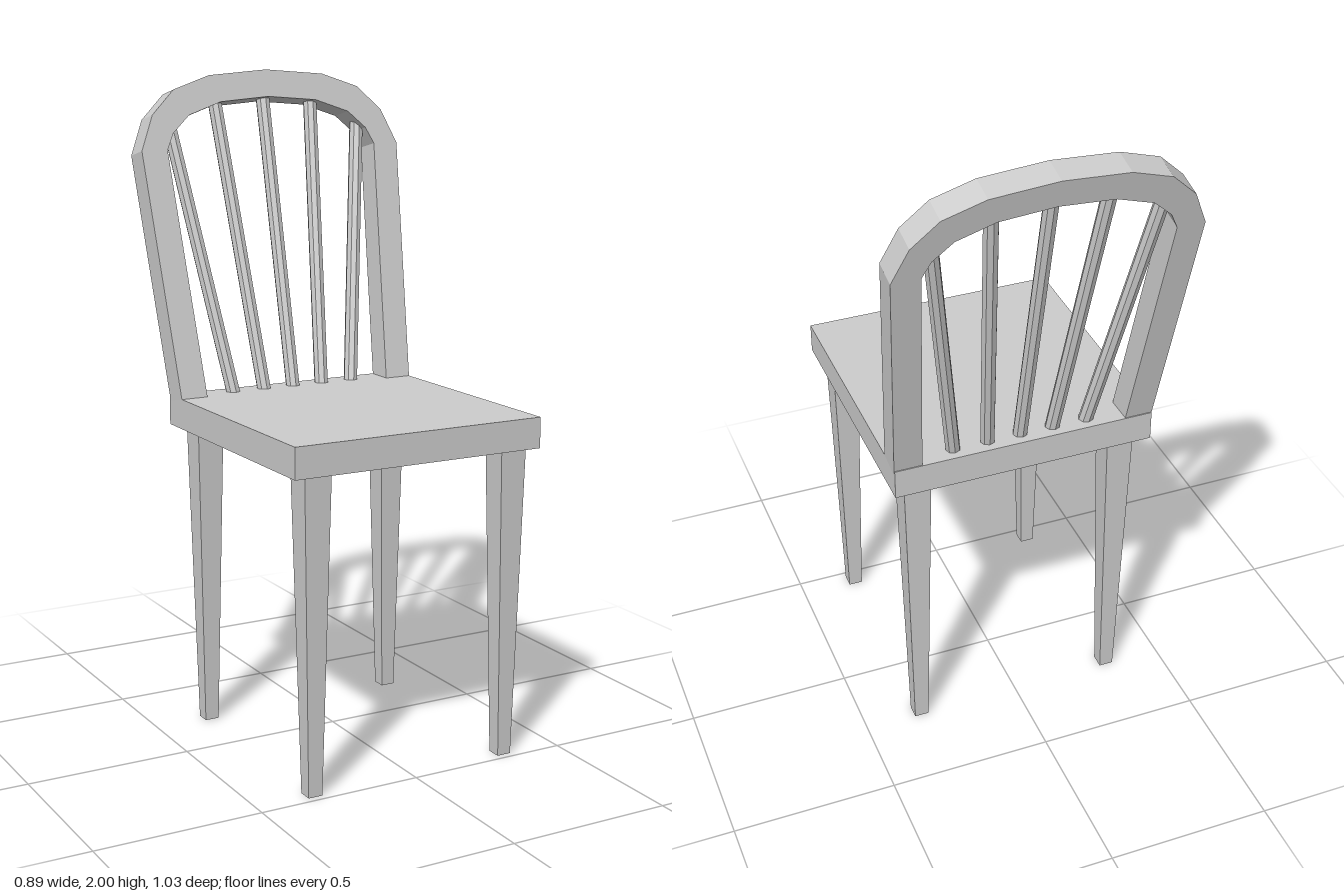
import * as THREE from 'three';

const material = new THREE.MeshStandardMaterial({ color: 0xcccccc, flatShading: true });

function add(parent, geometry, name) {
  const mesh = new THREE.Mesh(geometry, material);
  mesh.name = name;
  parent.add(mesh);
  return mesh;
}

const TOP = 1.03;      // seat surface
const TILT = 0.218;    // backward lean of the backrest
const DEPTH = 0.085;   // backrest frame thickness

// height above the floor -> distance along the leaning backrest
const along = (y) => (y - TOP) / Math.cos(TILT);

function rectangle(PathType, x, y) {
  return new PathType([[-x, -y], [x, -y], [x, y], [-x, y]].map((p) => new THREE.Vector2(...p)));
}

// Seat: thin panel with a rim hanging below it
function makeSeat() {
  const seat = new THREE.Group();
  seat.name = 'seat';
  add(seat, new THREE.BoxGeometry(0.8, 0.035, 0.82), 'seatPanel').position.y = TOP - 0.0175;
  const outline = rectangle(THREE.Shape, 0.4, 0.41);
  outline.holes.push(rectangle(THREE.Path, 0.37, 0.38));
  const rim = new THREE.ExtrudeGeometry(outline, { depth: 0.057, bevelEnabled: false });
  rim.rotateX(-Math.PI / 2);
  add(seat, rim, 'seatRim').position.y = 0.938;
  seat.position.z = 0.105;
  return seat;
}

// Square tapered leg, reaching up into the hollow below the seat
function makeLeg() {
  const height = 1.0;
  const leg = new THREE.CylinderGeometry(0.043 * Math.SQRT2, 0.022 * Math.SQRT2, height, 4);
  leg.rotateY(Math.PI / 4);
  return leg.translate(0, height / 2, 0);
}

// Faceted arch, open at the bottom
function makeHoop() {
  const outer = [[0.4, TOP], [0.444, 1.765], [0.398, 1.87], [0.32, 1.944], [0.197, 1.985], [0, 2.0]];
  const inner = [[0.315, TOP], [0.36, 1.765], [0.335, 1.815], [0.277, 1.867], [0.165, 1.905], [0, 1.918]];
  const arch = (side) => [...side, ...side.slice(0, -1).reverse().map(([x, y]) => [-x, y])];
  const points = [...arch(outer), ...arch(inner).reverse()];
  const shape = new THREE.Shape(points.map(([x, y]) => new THREE.Vector2(x, along(y))));
  return new THREE.ExtrudeGeometry(shape, { depth: DEPTH, bevelEnabled: false }).translate(0, 0, -DEPTH);
}

// Straight rod between two points
function makeRod(from, to, radius) {
  const axis = to.clone().sub(from);
  const rod = new THREE.CylinderGeometry(radius, radius, axis.length(), 8);
  const turn = new THREE.Quaternion().setFromUnitVectors(new THREE.Vector3(0, 1, 0), axis.normalize());
  rod.applyQuaternion(turn);
  const middle = from.clone().add(to).multiplyScalar(0.5);
  return rod.translate(middle.x, middle.y, middle.z);
}

export function createModel() {
  const chair = new THREE.Group();
  chair.name = 'chair';
  chair.add(makeSeat());

  const leg = makeLeg();
  for (const [z, row] of [[0.457, 'front'], [-0.225, 'back']]) {
    for (const [x, side] of [[0.32, 'Left'], [-0.32, 'Right']]) {
      add(chair, leg, `${row}${side}Leg`).position.set(x, 0, z);
    }
  }

  // Leaning backrest with fanned spindles
  const back = new THREE.Group();
  back.name = 'backrest';
  add(back, makeHoop(), 'backHoop');
  const fan = [[-0.205, -0.33, 1.86], [-0.1, -0.168, 1.93], [0, 0, 1.945], [0.1, 0.168, 1.93], [0.205, 0.33, 1.86]];
  fan.forEach(([x0, x1, y1], i) => {
    const from = new THREE.Vector3(x0, along(TOP - 0.01), -DEPTH / 2);
    const to = new THREE.Vector3(x1, along(y1), -DEPTH / 2);
    add(back, makeRod(from, to, 0.022), `spindle${i + 1}`);
  });
  back.position.set(0, TOP, -0.215);
  back.rotation.x = -TILT;
  chair.add(back);
  return chair;
}
